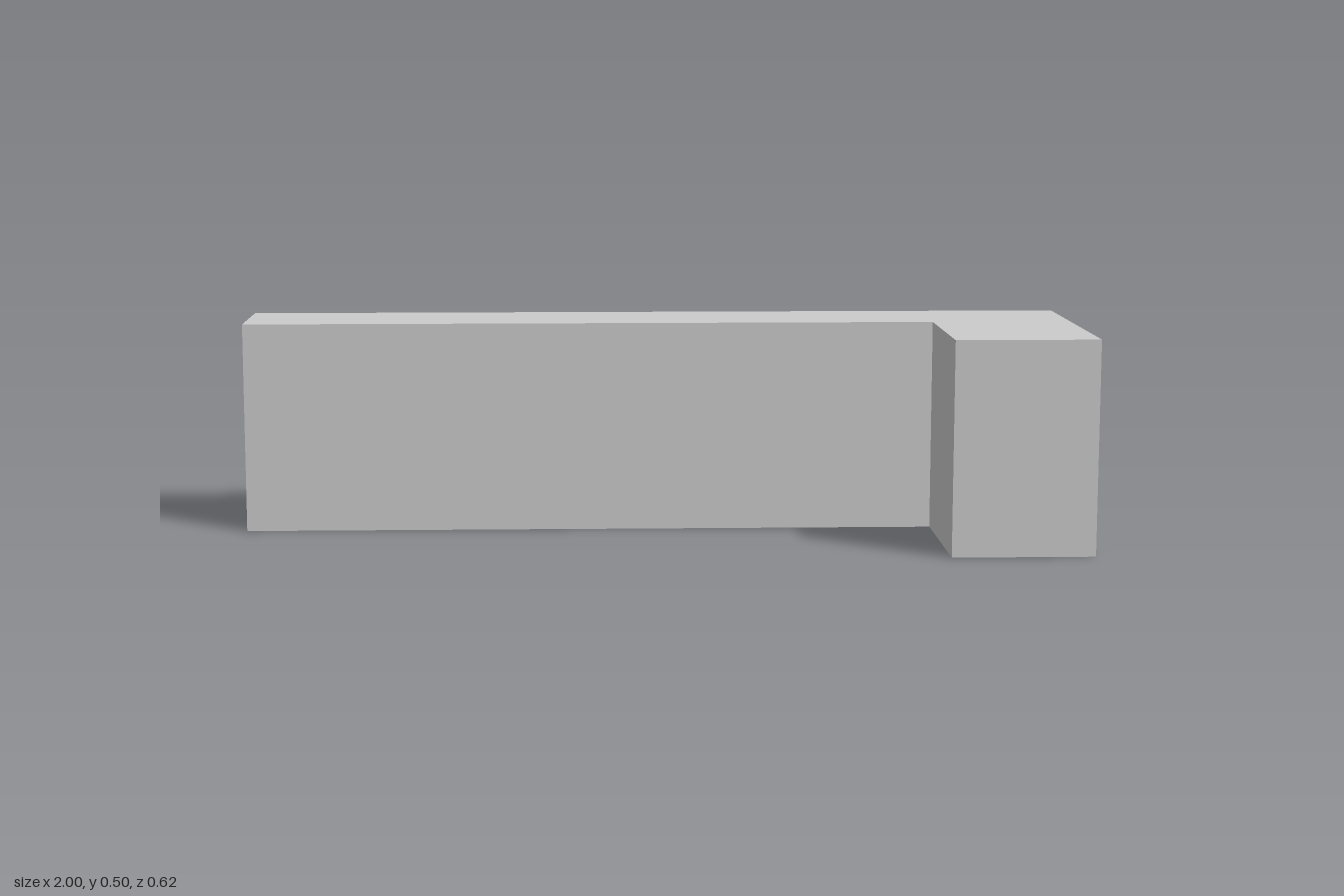
import * as THREE from 'three';

const HEIGHT = 0.505;
const BACK = -0.31, FRONT = 0.31; // z extents
const INNER_X = 0.665, INNER_Z = -0.06; // inside corner of the L

export function createModel() {
  const group = new THREE.Group();
  group.name = 'lShapedBlock';

  // L-shaped floor plan as [x, z], counter-clockwise seen from above
  const plan = [
    [-1, INNER_Z], [INNER_X, INNER_Z], [INNER_X, FRONT],
    [1, FRONT], [1, BACK], [-1, BACK],
  ];
  const shape = new THREE.Shape(plan.map(([x, z]) => new THREE.Vector2(x, -z)));

  // Raise the plan upwards into a solid block
  const geometry = new THREE.ExtrudeGeometry(shape, { depth: HEIGHT, bevelEnabled: false });
  geometry.rotateX(-Math.PI / 2);

  const block = new THREE.Mesh(
    geometry,
    new THREE.MeshStandardMaterial({ color: 0xcccccc, flatShading: true })
  );
  block.name = 'block';
  group.add(block);
  return group;
}
